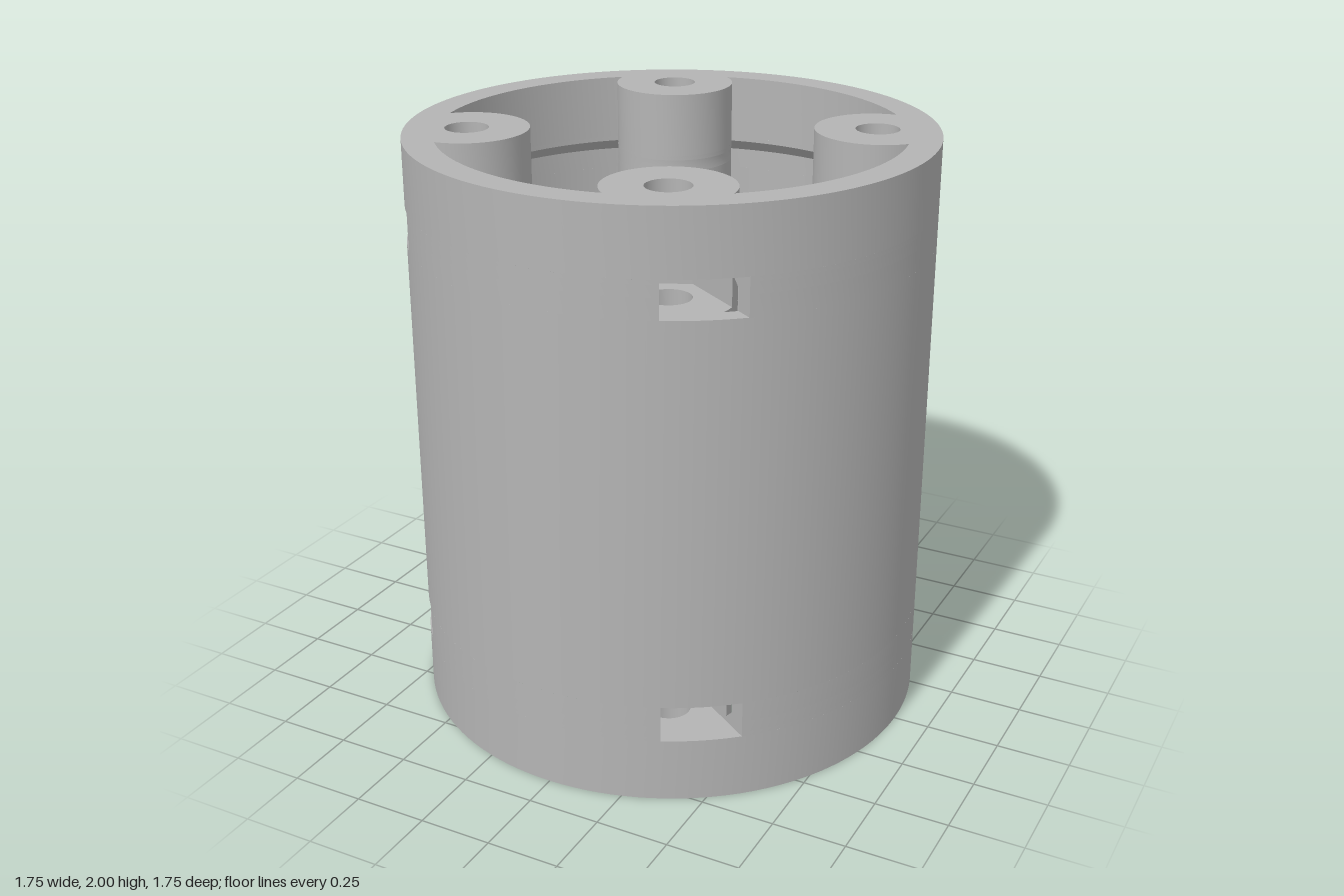
import * as THREE from 'three';
import { toCreasedNormals } from 'three/addons/utils/BufferGeometryUtils.js';

const H = 2, R = 0.877, R_LIP = 0.775, R_WALL = 0.815;   // height, outer and inner radii
const BOSS_R = 0.207, HOLE_R = 0.073, NUT = 0.122;        // boss, screw hole, half slot width
const SLOT_LOW = 0.22, SLOT_TOP = 0.345, CHAMFER_LOW = 0.235, CHAMFER_TOP = 0.275;
const B = new THREE.Vector2(0.3, 0.6);                    // boss centre as (x, z)
const SLOT_ANGLE = THREE.MathUtils.degToRad(56);
const D = new THREE.Vector2(Math.sin(SLOT_ANGLE), Math.cos(SLOT_ANGLE)); // slot direction
const N = new THREE.Vector2(D.y, -D.x);                   // across the slot

const angleOf = (p) => Math.atan2(p.x, p.y);
const onSlot = (u, v) => B.clone().addScaledVector(D, u).addScaledVector(N, v);
const quarter = (p) => new THREE.Vector2(p.y, -p.x);

// Points on a circle in the ground plane, angles measured from +z towards +x
function arc(centre, r, from, to, n) {
  return Array.from({ length: n + 1 }, (_, i) => {
    const a = from + (to - from) * i / n;
    return new THREE.Vector2(centre.x + r * Math.sin(a), centre.y + r * Math.cos(a));
  });
}
const origin = new THREE.Vector2();
const circle = (c, r, n) => arc(c, r, 0, Math.PI * 2, n).slice(0, n);

// Solid between two matching outlines; y0 and y1 are heights or height rules
function loft(outline, holes, y0, y1, { topOutline = outline, caps = true } = {}) {
  const pos = [];
  const low = typeof y0 === 'function' ? y0 : () => y0;
  const high = typeof y1 === 'function' ? y1 : () => y1;
  const put = (p, y) => pos.push(p.x, y(p), p.y);
  const side = (a, b, flip) => {
    for (let i = 0; i < a.length; i++) {
      const j = (i + 1) % a.length;
      const [s, e] = flip ? [j, i] : [i, j];
      put(a[s], low); put(a[e], low); put(b[e], high);
      put(a[s], low); put(b[e], high); put(b[s], high);
    }
  };
  side(outline, topOutline, THREE.ShapeUtils.area(outline) > 0);
  holes.forEach((h) => side(h, h, THREE.ShapeUtils.area(h) < 0));
  if (caps) {
    const pts = [outline, ...holes].flat();
    for (const f of THREE.ShapeUtils.triangulateShape(outline, holes)) {
      const t = f.map((i) => pts[i]);
      if (THREE.ShapeUtils.area(t) > 0) t.reverse();
      t.forEach((p) => put(p, high));
      t.reverse().forEach((p) => put(p, low));
    }
  }
  const geo = new THREE.BufferGeometry();
  geo.setAttribute('position', new THREE.Float32BufferAttribute(pos, 3));
  return geo;
}

// Same part at the other end of the tube
function mirrored(geo) {
  const src = geo.attributes.position, pos = [];
  for (let i = 0; i < src.count; i += 3) {
    for (const k of [i, i + 2, i + 1]) pos.push(src.getX(k), H - src.getY(k), src.getZ(k));
  }
  const out = new THREE.BufferGeometry();
  out.setAttribute('position', new THREE.Float32BufferAttribute(pos, 3));
  return out;
}

// Quarter of the section at slot height, from one nut slot to the next
function slottedSection(inner) {
  const reach = (v, r) => {
    const e = onSlot(0, v), k = e.dot(D);
    return onSlot(-k + Math.sqrt(k * k - e.lengthSq() + r * r), v);
  };
  const P = reach(-NUT, R), Q = reach(NUT, R), q = reach(NUT, inner);
  const tip = onSlot(Math.sqrt(BOSS_R ** 2 - NUT ** 2), NUT);
  const dist = B.length();
  const spread = Math.acos((dist ** 2 + inner ** 2 - BOSS_R ** 2) / (2 * dist * inner));
  const cornerAngle = angleOf(B) - spread;
  const corner = arc(origin, inner, cornerAngle, cornerAngle, 1)[0];
  const nutPocket = [
    onSlot(-NUT * 0.577, -NUT), onSlot(-NUT * 1.155, 0), onSlot(-NUT * 0.577, NUT),
  ];
  const bossArc = arc(B, BOSS_R, angleOf(tip.clone().sub(B)),
    angleOf(corner.clone().sub(B)) + Math.PI * 2, 36);
  return [
    ...arc(origin, R, angleOf(Q), angleOf(P) + Math.PI / 2, 28),
    ...[...nutPocket, ...bossArc].map(quarter),
    ...arc(origin, inner, cornerAngle + Math.PI / 2, angleOf(q), 24).slice(1),
  ];
}

export function createModel() {
  const model = new THREE.Group();
  const grey = new THREE.MeshStandardMaterial({ color: 0xb4b4b4 });
  grey.name = 'grey plastic';

  const add = (name, geo, turn = 0) => {
    const mesh = new THREE.Mesh(toCreasedNormals(geo, 0.5), grey);
    mesh.name = name;
    mesh.rotation.y = turn * Math.PI / 2;
    model.add(mesh);
  };
  const addBothEnds = (name, geo, turns) => {
    for (let t = 0; t < turns; t++) {
      add(name + 'Bottom', geo, t);
      add(name + 'Top', mirrored(geo), t);
    }
  };

  // Tube wall between the slots, and the thicker lips at both ends
  const outer = circle(origin, R, 128);
  add('tubeWall', loft(outer, [circle(origin, R_WALL, 128)], SLOT_TOP, H - SLOT_TOP));
  addBothEnds('endLip', loft(outer, [circle(origin, R_LIP, 128)], 0, SLOT_LOW), 1);

  // Slotted band, widening inside by a chamfer
  const lip = slottedSection(R_LIP), wall = slottedSection(R_WALL);
  addBothEnds('slotBandLip', loft(lip, [], SLOT_LOW, CHAMFER_LOW, { caps: false }), 4);
  addBothEnds('slotBandChamfer',
    loft(lip, [], CHAMFER_LOW, CHAMFER_TOP, { topOutline: wall, caps: false }), 4);
  addBothEnds('slotBandWall', loft(wall, [], CHAMFER_TOP, SLOT_TOP, { caps: false }), 4);

  // Screw bosses, kept inside the wall and cut off at 45 degrees
  const boss = circle(B, BOSS_R, 56).map((p) => p.clampLength(0, 0.85));
  const hole = circle(B, HOLE_R, 32);
  const radial = B.clone().normalize();
  const slope = (p) => 0.58 + p.dot(radial) - B.length();
  addBothEnds('screwBossEnd', loft(boss, [hole], 0, SLOT_LOW), 4);
  addBothEnds('screwBossInner', loft(boss, [hole], SLOT_TOP, slope), 4);

  return model;
}
